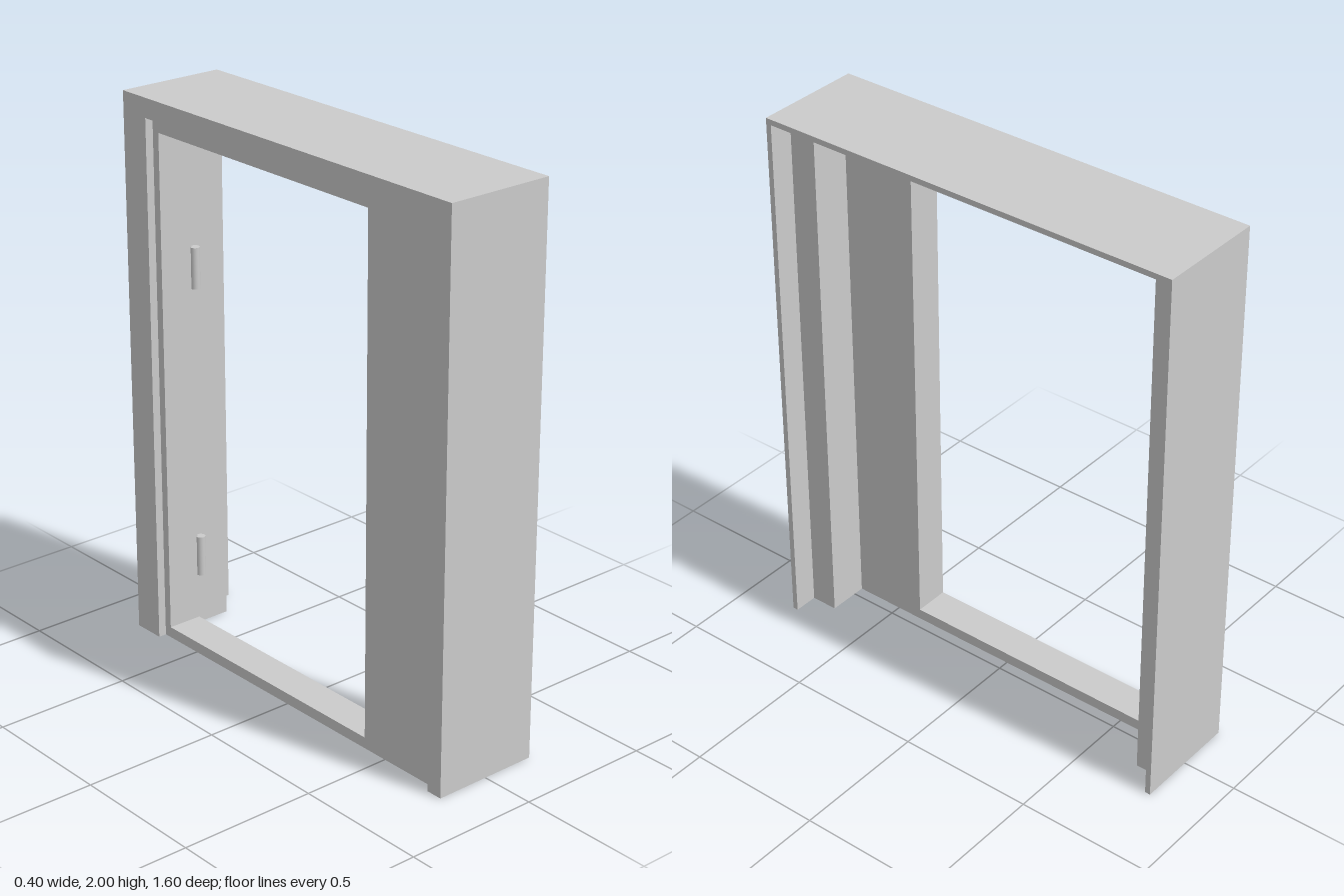
import * as THREE from 'three';

const material = new THREE.MeshStandardMaterial({ color: 0xcccccc, flatShading: true, side: THREE.DoubleSide });

// Upside-down U at depth x: foot and corner on the +z side, then corner and foot on the -z side
function arch(x, zPlus, zMinus, top, foot = 0, zPlusFoot = zPlus) {
  return [[x, foot, zPlusFoot], [x, top, zPlus], [x, top, zMinus], [x, foot, zMinus]];
}

// Folded sheet joining successive arches; closed also joins the two feet
function sheet(name, arches, closed = false) {
  const pos = [];
  for (let i = 0; i < arches.length - 1; i++) {
    const a = arches[i], b = arches[i + 1];
    for (let j = 0; j < (closed ? 4 : 3); j++) {
      const k = (j + 1) % 4;
      pos.push(...a[j], ...b[k], ...a[k], ...a[j], ...b[j], ...b[k]);
    }
  }
  const geometry = new THREE.BufferGeometry();
  geometry.setAttribute('position', new THREE.Float32BufferAttribute(pos, 3));
  geometry.computeVertexNormals();
  const mesh = new THREE.Mesh(geometry, material);
  mesh.name = name;
  return mesh;
}

export function createModel() {
  const group = new THREE.Group();
  group.name = 'doorFrame';

  // Arches shared by neighbouring parts
  const backOuter = arch(-0.2, 0.8, -0.8, 2);
  const frontOuter = arch(0.2, 0.8, -0.8, 2);
  const rebateInner = arch(-0.04, 0.68, -0.68, 1.93);
  const openingFront = arch(-0.04, 0.4, -0.65, 1.88, 0.04);
  const openingBack = arch(-0.17, 0.4, -0.65, 1.88, 0.04);
  const panelBack = arch(-0.17, 0.68, -0.68, 1.93, 0, 0.74);
  const backInner = arch(-0.2, 0.68, -0.68, 1.93, 0, 0.74);

  // Outer casing, open underneath
  group.add(sheet('outerCasing', [backOuter, frontOuter]));

  // Front lip and the stepped rebate behind it
  group.add(sheet('frontRebate', [
    frontOuter,
    arch(0.2, 0.78, -0.78, 1.98),
    arch(0.11, 0.78, -0.78, 1.98),
    arch(0.11, 0.68, -0.68, 1.93),
    rebateInner,
  ]));

  // Hollow inner panel with its opening and low sill
  group.add(sheet('innerPanel', [rebateInner, openingFront, openingBack, panelBack], true));

  // Shallow return around the back
  group.add(sheet('backTrim', [panelBack, backInner, backOuter]));

  // Hinge barrels
  const barrel = new THREE.CylinderGeometry(0.017, 0.017, 0.15, 16);
  const hingeMaterial = new THREE.MeshStandardMaterial({ color: 0xcccccc });
  for (const [name, y] of [['lowerHinge', 0.285], ['upperHinge', 1.375]]) {
    const hinge = new THREE.Mesh(barrel, hingeMaterial);
    hinge.name = name;
    hinge.position.set(-0.028, y, -0.648);
    group.add(hinge);
  }
  return group;
}
